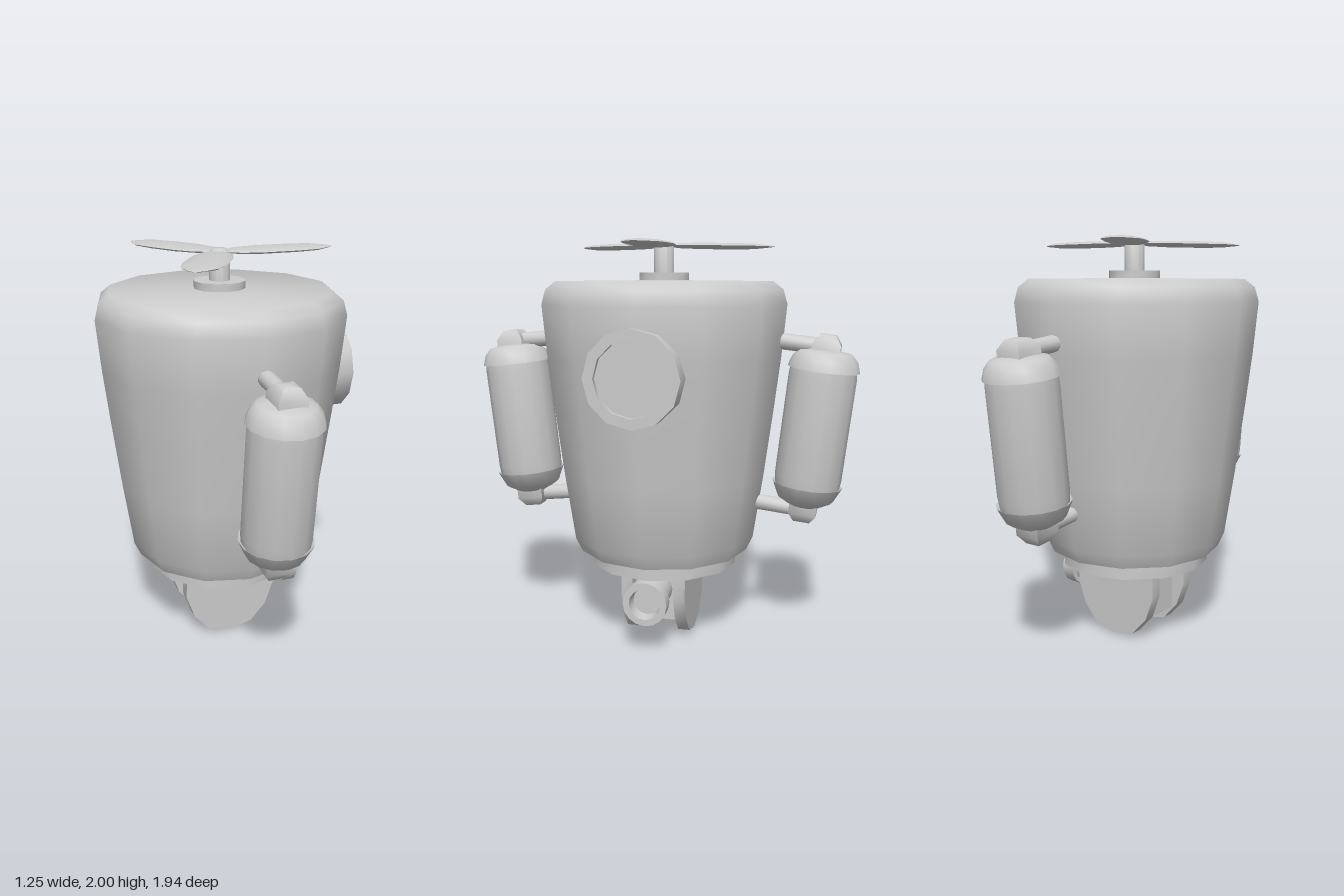
import * as THREE from 'three';
import { toCreasedNormals } from 'three/addons/utils/BufferGeometryUtils.js';

const material = new THREE.MeshStandardMaterial({ color: 0xcccccc });

function mesh(name, geometry, parent, x = 0, y = 0, z = 0) {
  const m = new THREE.Mesh(toCreasedNormals(geometry, 0.95), material);
  m.name = name;
  m.position.set(x, y, z);
  parent.add(m);
  return m;
}

// Turned solid from [radius, height] pairs, listed bottom to top
const lathe = (pairs, sides = 12, start = 0) =>
  new THREE.LatheGeometry(pairs.map(([r, y]) => new THREE.Vector2(r, y)), sides, start);

// Gas tank with end valves and two struts reaching towards the hull (-z)
function createTank(name) {
  const tank = new THREE.Group();
  tank.name = name;
  mesh('tankShell', lathe([
    [0, -0.39], [0.08, -0.385], [0.14, -0.35], [0.175, -0.275], [0.16, -0.285],
    [0.165, -0.24], [0.165, 0.27], [0.16, 0.31],
    [0.175, 0.3], [0.16, 0.35], [0.13, 0.385], [0.08, 0.395], [0, 0.4],
  ], 14), tank);
  const r = Math.SQRT2;
  for (const side of [1, -1]) {
    const valve = mesh('valve', lathe([
      [0, 0.33], [0.068 * r, 0.33], [0.068 * r, 0.425], [0.04 * r, 0.468], [0, 0.473],
    ], 4, Math.PI / 4), tank);
    if (side < 0) valve.rotation.x = Math.PI;
    const strut = mesh('strut', new THREE.CylinderGeometry(0.04, 0.04, 0.3, 10), tank, 0, side * 0.41, -0.15);
    strut.rotation.x = Math.PI / 2;
  }
  tank.position.set(0, 1.09, 0.765);
  tank.rotation.x = 0.11;
  return tank;
}

export function createModel() {
  const model = new THREE.Group();
  model.name = 'propellerPod';
  const pod = new THREE.Group();
  pod.name = 'pod';
  pod.position.x = -0.01;
  model.add(pod);

  // Tapered hull and the collar under it
  mesh('hull', lathe([
    [0, 0.45], [0.435, 0.45], [0.468, 0.52], [0.517, 0.85], [0.562, 1.2],
    [0.592, 1.45], [0.615, 1.7], [0.595, 1.77], [0.545, 1.81], [0, 1.815],
  ]), pod);
  mesh('collar', new THREE.CylinderGeometry(0.38, 0.38, 0.09, 12), pod, 0, 0.42);

  // Porthole: raised rim with a recessed pane
  const porthole = mesh('porthole', lathe([
    [0.225, 0.4], [0.225, 0.63], [0.175, 0.63], [0.175, 0.605], [0, 0.605],
  ]), pod, 0, 1.385);
  porthole.rotation.z = -Math.PI / 2;

  // Side tanks, front and back
  for (const [name, turn] of [['frontTank', 0], ['backTank', Math.PI]]) {
    const mount = new THREE.Group();
    mount.name = name + 'Mount';
    mount.rotation.y = turn;
    mount.add(createTank(name));
    pod.add(mount);
  }

  // Rounded foot plates
  const outline = [[-0.24, 0.39], [-0.243, 0.24], [-0.2, 0.12], [-0.12, 0.03], [0, 0],
    [0.12, 0.03], [0.2, 0.12], [0.243, 0.24], [0.24, 0.39]];
  const footShape = new THREE.Shape(outline.map(([x, y]) => new THREE.Vector2(x, y)));
  for (const [name, z] of [['frontFoot', 0.105], ['backFoot', -0.165]]) {
    mesh(name, new THREE.ExtrudeGeometry(footShape, { depth: 0.06, bevelEnabled: false }), pod, 0, 0, z);
  }

  // Motor block between the feet, and its flared outlet
  mesh('motorBlock', new THREE.BoxGeometry(0.34, 0.28, 0.215), pod, 0, 0.24);
  const outlet = mesh('outlet', lathe([
    [0.085, 0.15], [0.085, 0.34], [0.11, 0.34], [0.11, 0.41],
    [0.078, 0.41], [0.07, 0.35], [0, 0.35],
  ], 16), pod, 0, 0.263);
  outlet.rotation.z = -Math.PI / 2;

  // Propeller
  mesh('shaftBase', new THREE.CylinderGeometry(0.127, 0.127, 0.045, 12), pod, 0, 1.828);
  mesh('shaft', lathe([[0.05, 1.8], [0.05, 1.985], [0.03, 2], [0, 2]]), pod);
  const bladeProfile = [[0, 0], [0.03, 0.02], [0.08, 0.09], [0.1, 0.2], [0.1, 0.36], [0.085, 0.48], [0.035, 0.56], [0, 0.595]];
  for (let i = 0; i < 3; i++) {
    const blade = lathe(bladeProfile, 12);
    blade.rotateZ(-Math.PI / 2);
    blade.scale(1, 0.16, 1);
    mesh('blade', blade, pod, 0, 1.983).rotation.y = i * Math.PI * 2 / 3;
  }

  return model;
}
